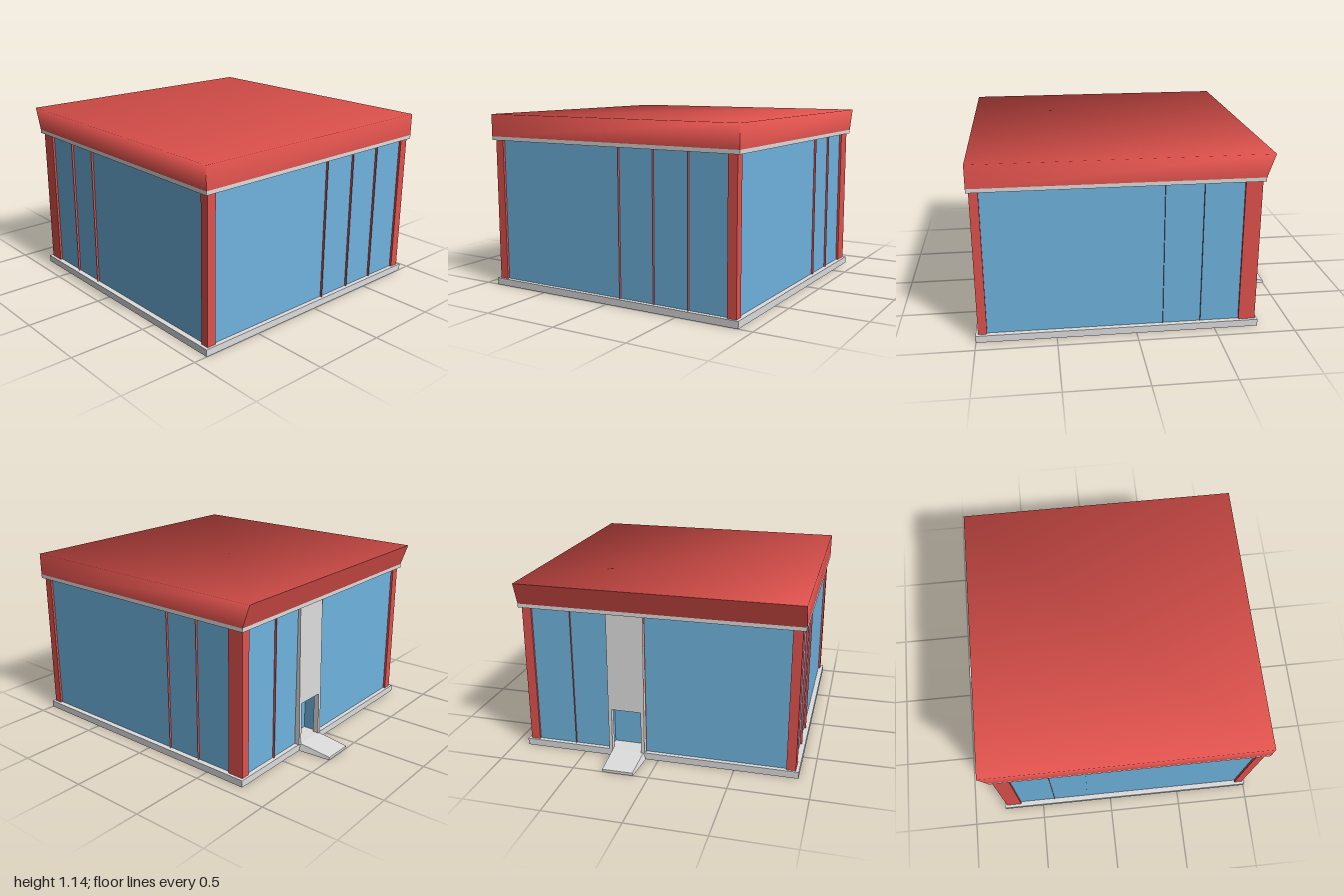
import * as THREE from 'three';
import { ConvexGeometry } from 'three/addons/geometries/ConvexGeometry.js';

const material = (name, color, side = THREE.FrontSide) => {
  const m = new THREE.MeshStandardMaterial({ color, side });
  m.name = name;
  return m;
};

export function createModel() {
  const model = new THREE.Group();
  const red = material('red paint', 0xe0524d, THREE.DoubleSide);
  const blue = material('blue glass', 0x6fb3de);
  const grey = material('light grey', 0xdcdcdc);

  const add = (name, geometry, mat) => {
    const mesh = new THREE.Mesh(geometry, mat);
    mesh.name = name;
    model.add(mesh);
    return mesh;
  };
  // box given by its limits on each axis
  const box = (name, mat, x0, x1, y0, y1, z0, z1) =>
    add(name, new THREE.BoxGeometry(x1 - x0, y1 - y0, z1 - z0), mat)
      .position.set((x0 + x1) / 2, (y0 + y1) / 2, (z0 + z1) / 2);

  const floorY = 0.045, eaveY = 0.975, wallH = eaveY - floorY, midY = (eaveY + floorY) / 2;
  const doorX0 = 0.09, doorX1 = 0.33, recessZ = -0.66;

  // floor slab and eave trim
  box('floorSlab', grey, -0.91, 0.91, 0, floorY, -0.78, 1);
  box('eaveTrim', grey, -0.91, 0.91, eaveY, 1, -0.78, 1);

  // glass walls, leaving a recess for the doorway
  box('glassWalls', blue, -0.875, 0.875, floorY, eaveY, recessZ, 0.97);
  box('backGlassWide', blue, -0.875, doorX0, floorY, eaveY, -0.75, recessZ);
  box('backGlassNarrow', blue, doorX1, 0.875, floorY, eaveY, -0.75, recessZ);

  // corner posts
  for (const [x0, x1] of [[-0.89, -0.83], [0.83, 0.89]]) {
    box('frontPost', red, x0, x1, floorY, eaveY, 0.93, 0.985);
    box('backPost', red, x0, x1, floorY, eaveY, -0.765, -0.66);
  }

  // thin mullion fins standing out from the glass
  const fin = (x, z, alongX) => {
    const m = add('mullionFin', new THREE.PlaneGeometry(0.016, wallH), red);
    m.position.set(x, midY, z);
    if (!alongX) m.rotation.y = Math.PI / 2;
  };
  for (const x of [0.09, 0.335, 0.575]) fin(x, 0.978, false);
  for (const x of [0.085, 0.57]) fin(x, -0.758, false);
  for (const z of [-0.17, -0.41]) for (const s of [-1, 1]) fin(s * 0.882, z, true);

  // door surround: leaning outer face, extruded across x
  const outer = y => -0.785 + 0.018 * (y - floorY) / wallH;
  const leaning = (name, x0, x1, y0, y1, innerZ) => {
    const shape = new THREE.Shape([
      [-innerZ, y0], [-outer(y0), y0], [-outer(y1), y1], [-innerZ, y1],
    ].map(p => new THREE.Vector2(...p)));
    const g = new THREE.ExtrudeGeometry(shape, { depth: x1 - x0, bevelEnabled: false });
    g.rotateY(Math.PI / 2).translate(x0, 0, 0);
    add(name, g, grey);
  };
  leaning('doorPanel', doorX0, doorX1, 0.33, eaveY, recessZ);
  leaning('doorJamb', doorX0, doorX0 + 0.022, floorY, 0.33, -0.745);
  leaning('doorJamb', doorX1 - 0.022, doorX1, floorY, 0.33, -0.745);

  // entrance ramp, slightly splayed at its foot
  const ramp = [];
  for (const [half, y, z] of [[0.12, 0, -0.78], [0.104, floorY, -0.78], [0.104, 0, -1], [0.1, 0.018, -1]])
    for (const s of [-1, 1]) ramp.push(new THREE.Vector3(0.203 + s * half, y, z));
  add('ramp', new ConvexGeometry(ramp), grey);

  // roof: top blends softly into front and side fascias, back fascia is sharp
  const pos = [], nor = [];
  const corner = (sx, front, top) =>
    [sx * 0.91, top ? 1.145 : 1, front ? 1 : top ? -0.83 : -0.78];
  const quad = (corners, normal, soft) => {
    for (const i of [0, 1, 2, 0, 2, 3]) {
      const [sx, front, top] = corners[i];
      const n = soft && top ? [sx, 1, front] : normal;
      pos.push(...corner(sx, front, top));
      nor.push(...new THREE.Vector3(...n).normalize().toArray());
    }
  };
  quad([[1, 0, 1], [-1, 0, 1], [-1, 1, 1], [1, 1, 1]], [0, 1, 0], true);
  // start the same face one corner on is kept diagonal from back right to front left
  quad([[-1, 1, 0], [1, 1, 0], [1, 1, 1], [-1, 1, 1]], [0, 0, 1], true);
  quad([[1, 1, 0], [1, 0, 0], [1, 0, 1], [1, 1, 1]], [1, 0, 0], true);
  quad([[-1, 0, 0], [-1, 1, 0], [-1, 1, 1], [-1, 0, 1]], [-1, 0, 0], true);
  quad([[1, 0, 0], [-1, 0, 0], [-1, 0, 1], [1, 0, 1]], [0, -0.33, -1], false);
  const roof = new THREE.BufferGeometry();
  roof.setAttribute('position', new THREE.Float32BufferAttribute(pos, 3));
  roof.setAttribute('normal', new THREE.Float32BufferAttribute(nor, 3));
  add('roof', roof, red);

  return model;
}
